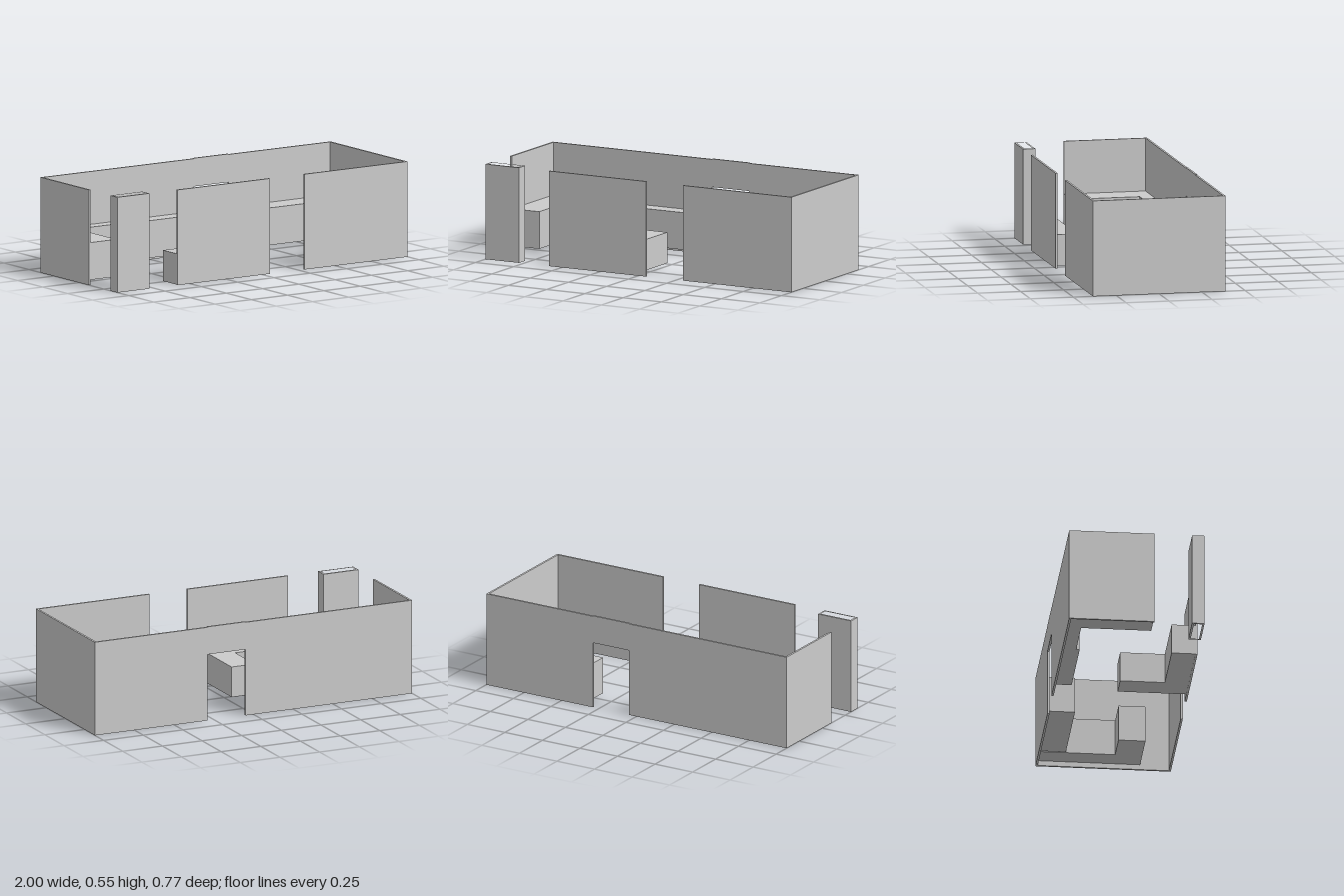
import * as THREE from 'three';

const WALL = 0.012;      // wall thickness
const X = 1, Z = 0.386;  // outer half sizes of the room
const H = 0.55;          // wall height
const XI = X - WALL, ZI = Z - WALL;

export function createModel() {
  const group = new THREE.Group();
  group.name = 'room';
  const material = new THREE.MeshStandardMaterial({ color: 0xcccccc, flatShading: true });

  // Raises a floor-plan outline of [x, z] corners from y0 to y1.
  function prism(name, plan, y0, y1, hole) {
    const toPoints = (list) => list.map(([x, z]) => new THREE.Vector2(x, -z));
    const shape = new THREE.Shape(toPoints(plan));
    if (hole) shape.holes.push(new THREE.Path(toPoints(hole)));
    const geometry = new THREE.ExtrudeGeometry(shape, { depth: y1 - y0, bevelEnabled: false });
    geometry.rotateX(-Math.PI / 2).translate(0, y0, 0);
    const mesh = new THREE.Mesh(geometry, material);
    mesh.name = name;
    group.add(mesh);
  }
  const rect = (x0, x1, z0, z1) => [[x0, z0], [x1, z0], [x1, z1], [x0, z1]];

  // Walls: left shell, right shell, front panel and the lintel over the back door
  prism('leftWalls', [[0.29, -Z], [X, -Z], [X, Z], [0.29, Z], [0.29, ZI], [XI, ZI], [XI, -ZI], [0.29, -ZI]], 0, H);
  prism('rightWalls', [[0.05, -Z], [-X, -Z], [-X, 0.1], [-XI, 0.1], [-XI, -ZI], [0.05, -ZI]], 0, H);
  prism('frontWallPanel', rect(-0.585, 0.05, ZI, Z), 0, H);
  prism('doorLintel', rect(0.05, 0.29, -Z, -ZI), 0.39, 0.553);

  // Hollow shaft in the front right corner, open at top and bottom
  prism('shaft', rect(-X, -0.78, 0.315, Z), 0, H, rect(-XI, -0.78 - WALL, 0.315 + WALL, ZI));

  // Counters raised slightly off the floor
  const low = 0.03, top = 0.245;
  prism('rightCornerCounter', [[-XI, -ZI], [-0.52, -ZI], [-0.52, -0.3], [-0.81, -0.3], [-0.81, 0.1], [-XI, 0.1]], low, top);
  prism('backCounter', rect(-0.52, -0.04, -ZI, -0.28), low, top);
  prism('backLeftCounter', rect(0.32, 0.857, -ZI, -0.226), low, top);
  prism('leftCounter', [[0.866, -ZI], [XI, -ZI], [XI, 0.21], [0.668, 0.21], [0.668, 0.056], [0.866, 0.056]], low, top);

  // Lower L-shaped seat standing behind the front panel
  prism('frontSeat', [[-0.585, ZI], [-0.04, ZI], [-0.04, -0.017], [-0.185, -0.017], [-0.185, 0.238], [-0.585, 0.238]], 0.002, 0.18);

  return group;
}
